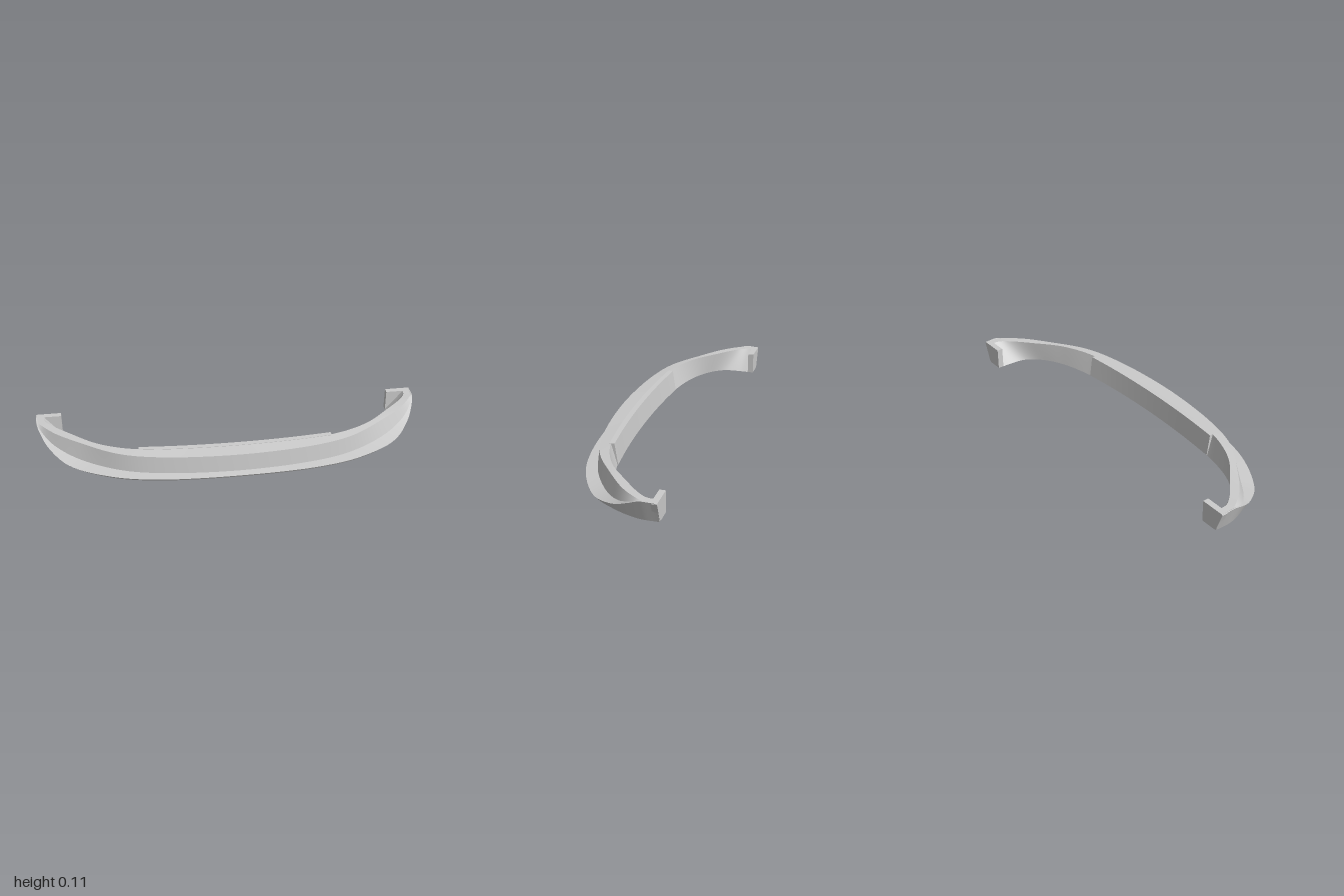
import * as THREE from 'three';

const material = new THREE.MeshStandardMaterial({ color: 0xcccccc, side: THREE.DoubleSide });

// Mirrors half a rail (centre to +x end) into a smooth full-width curve.
function rail(half) {
  const right = half.map(([x, y, z]) => new THREE.Vector3(x, y, z));
  const left = right.slice(1).reverse().map((p) => new THREE.Vector3(-p.x, p.y, p.z));
  return new THREE.CatmullRomCurve3([...left, ...right]);
}

// Skins neighbouring rails; each strip has its own vertices so edges stay sharp.
function loft(name, rails, steps, capped) {
  const positions = [], indices = [];
  const rows = rails.map((r) => {
    const curve = rail(r);
    return Array.from({ length: steps + 1 }, (_, i) => curve.getPoint(i / steps));
  });
  rows.forEach((row, j) => {
    const next = rows[(j + 1) % rows.length];
    const base = positions.length / 3;
    for (let i = 0; i <= steps; i++) {
      positions.push(...row[i].toArray(), ...next[i].toArray());
      if (i === steps) continue;
      const a = base + i * 2;
      indices.push(a, a + 2, a + 1, a + 2, a + 3, a + 1);
    }
  });
  if (capped) {
    for (const i of [0, steps]) {
      const base = positions.length / 3;
      rows.forEach((row) => positions.push(...row[i].toArray()));
      for (let j = 1; j < rows.length - 1; j++) {
        if (i) indices.push(base, base + j, base + j + 1);
        else indices.push(base, base + j + 1, base + j);
      }
    }
  }
  const geometry = new THREE.BufferGeometry();
  geometry.setAttribute('position', new THREE.Float32BufferAttribute(positions, 3));
  geometry.setIndex(indices);
  geometry.computeVertexNormals();
  const mesh = new THREE.Mesh(geometry, material);
  mesh.name = name;
  return mesh;
}

export function createModel() {
  const group = new THREE.Group();
  group.name = 'curvedLip';

  // Main curved body: the lip climbs the sides until it meets the top edge.
  const innerBottom = [[0, 0, 0.11], [0.35, 0, 0.098], [0.52, 0, 0.08], [0.7, 0, 0.03],
    [0.81, 0, -0.04], [0.86, 0, -0.11], [0.87, 0, -0.19], [0.87, 0, -0.27]];
  const outerBottom = [[0, 0, 0.264], [0.4, 0, 0.244], [0.63, 0, 0.188], [0.83, 0, 0.068],
    [0.91, 0, -0.05], [0.945, 0, -0.13], [0.96, 0, -0.19], [0.96, 0, -0.27]];
  const lipEdge = [[0, 0.01, 0.27], [0.4, 0.01, 0.25], [0.63, 0.01, 0.195], [0.84, 0.013, 0.075],
    [0.94, 0.045, -0.05], [0.98, 0.082, -0.13], [0.998, 0.108, -0.19], [1, 0.109, -0.27]];
  const wallBase = [[0, 0.014, 0.232], [0.4, 0.014, 0.2], [0.6, 0.016, 0.145], [0.8, 0.025, 0.03],
    [0.92, 0.055, -0.07], [0.973, 0.088, -0.14], [0.996, 0.11, -0.192], [0.998, 0.11, -0.27]];
  const topOuter = [[0, 0.103, 0.222], [0.4, 0.103, 0.19], [0.6, 0.105, 0.133], [0.78, 0.107, 0.015],
    [0.9, 0.109, -0.08], [0.96, 0.11, -0.15], [0.99, 0.11, -0.2], [0.994, 0.11, -0.27]];
  const topInner = [[0, 0.11, 0.142], [0.35, 0.11, 0.13], [0.52, 0.11, 0.11], [0.69, 0.11, 0.04],
    [0.83, 0.11, -0.075], [0.92, 0.11, -0.16], [0.955, 0.11, -0.21], [0.96, 0.11, -0.27]];
  group.add(loft('lipBody', [innerBottom, outerBottom, lipEdge, wallBase, topOuter, topInner], 112, true));

  // Thicker rear pad across the middle, ending in small steps.
  const arc = (y, z, drop) => [0, 0.17, 0.33, 0.49].map((x) => [x, y, z - drop * (x / 0.49) ** 2]);
  group.add(loft('rearPad',
    [arc(0.002, 0.108, 0.026), arc(0.002, 0.15, 0.026), arc(0.111, 0.15, 0.026), arc(0.111, 0.123, 0.024)], 36, true));

  // Upright plates closing the two ends.
  for (const side of [-1, 1]) {
    const outline = new THREE.Shape([[0.87, 0], [0.95, 0], [0.963, 0.012], [1, 0.105], [0.994, 0.11], [0.87, 0.11]]
      .map(([x, y]) => new THREE.Vector2(side * x, y)));
    const plate = new THREE.Mesh(
      new THREE.ExtrudeGeometry(outline, { depth: 0.03, bevelEnabled: false }), material);
    plate.position.z = -0.272;
    plate.name = side > 0 ? 'leftEndPlate' : 'rightEndPlate';
    group.add(plate);
  }
  return group;
}
